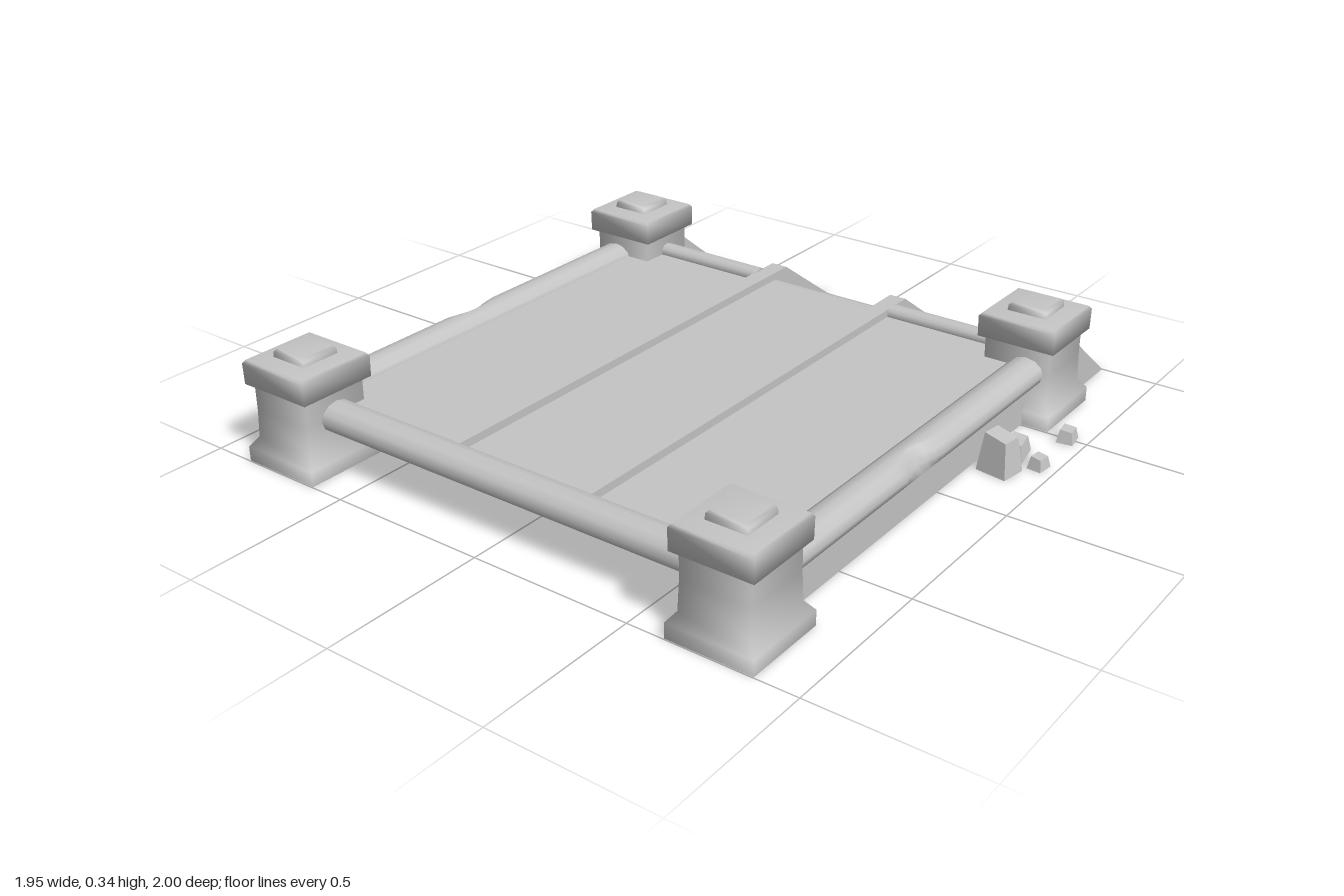
import * as THREE from 'three';

const stone = new THREE.MeshStandardMaterial({ color: 0xc4c4c4, side: THREE.DoubleSide });
stone.name = 'grey stone';

function add(parent, name, geometry, x = 0, y = 0, z = 0) {
  const mesh = new THREE.Mesh(geometry, stone);
  mesh.name = name;
  mesh.position.set(x, y, z);
  parent.add(mesh);
  return mesh;
}

function flat(geometry) {
  const g = geometry.index ? geometry.toNonIndexed() : geometry;
  g.computeVertexNormals();
  return g;
}

// Square, softly shaded turned block from [half width, height] pairs
function squareLathe(profile) {
  const pts = profile.map(([half, y]) => new THREE.Vector2(half * Math.SQRT2, y));
  return new THREE.LatheGeometry(pts, 4, Math.PI / 4);
}

// Side outline of [z, y] pairs, extruded from x0 to x1
function slab(outline, x0, x1) {
  const shape = new THREE.Shape(outline.map(([z, y]) => new THREE.Vector2(z, y)));
  const g = new THREE.ExtrudeGeometry(shape, { depth: x1 - x0, bevelEnabled: false });
  return g.rotateY(-Math.PI / 2).translate(x1, 0, 0);
}

// Open folded sheet following [z, y] pairs, from x0 to x1
function sheet(path, x0, x1) {
  const g = new THREE.PlaneGeometry(1, 1, 1, path.length - 1);
  const p = g.attributes.position;
  path.forEach(([z, y], i) => {
    p.setXYZ(i * 2, x1, y, z);
    p.setXYZ(i * 2 + 1, x0, y, z);
  });
  return flat(g);
}

// Rounded rail along z, oval in section
function rail(length, halfWidth, halfHeight, rows = 1) {
  return new THREE.CylinderGeometry(1, 1, length, 12, rows)
    .rotateX(Math.PI / 2).scale(halfWidth, halfHeight, 1);
}

function addPost(parent, x, z) {
  const post = new THREE.Group();
  post.name = 'cornerPost';
  post.position.set(x, 0, z);
  add(post, 'postColumn', squareLathe([[0.13, 0], [0.13, 0.045], [0.107, 0.075], [0.104, 0.16], [0.104, 0.245]]));
  add(post, 'postCap', squareLathe([[0.09, 0.238], [0.122, 0.241], [0.123, 0.305], [0.115, 0.315], [0.05, 0.319]]));
  add(post, 'postKnob', squareLathe([[0.062, 0.314], [0.06, 0.335], [0.052, 0.344], [0, 0.344]]));
  parent.add(post);
}

// Tapered angular rubble block standing on the ground
function addRock(parent, x, z, w, h, d, turn) {
  const g = new THREE.CylinderGeometry(0.5, 0.7, 1, 4, 1).rotateY(Math.PI / 4);
  const p = g.attributes.position;
  for (let i = 0; i < p.count; i++) {
    if (p.getY(i) > 0) p.setY(i, 0.5 - 0.15 * (p.getX(i) + 0.35));
  }
  const rock = add(parent, 'rubble', flat(g).translate(0, 0.5, 0), x, 0, z);
  rock.scale.set(w, h, d);
  rock.rotation.y = turn;
}

function addSide(parent, s) {
  addPost(parent, s * 0.742, 0.867);
  addPost(parent, s * 0.742, -0.635);

  // Side rail with a chipped outer edge
  const g = rail(1.34, 0.057, 0.045, 40);
  const p = g.attributes.position;
  for (let i = 0; i < p.count; i++) {
    const chip = Math.max(0, 1 - Math.abs(p.getZ(i) - 0.04) / 0.09);
    if (p.getX(i) * s > 0.02 && p.getY(i) > -0.01) p.setX(i, p.getX(i) - s * chip * 0.028);
  }
  g.computeVertexNormals();
  add(parent, 'sideRail', g, s * 0.773, 0.16, 0.12);
  add(parent, 'sideWall', new THREE.BoxGeometry(0.02, 0.15, 1.4), s * 0.778, 0.075, 0.12);

  // Sloping buttress behind the rear post
  const b = [s * 0.66, s * 0.82].sort((a, c) => a - c);
  add(parent, 'buttress', slab([[-0.64, 0], [-0.64, 0.21], [-0.73, 0.21], [-1, 0]], ...b));

  // Long floor beam running down to the ground at the rear
  const f = [s * 0.2, s * 0.255].sort((a, c) => a - c);
  add(parent, 'floorBeam', slab([[0.83, 0.145], [0.83, 0.195], [-0.72, 0.195],
    [-1, 0], [-0.85, 0], [-0.7, 0.12], [-0.66, 0.145]], ...f));

  // Rear rail and skirt between post and beam
  const r = rail(0.4, 0.03, 0.025).rotateY(Math.PI / 2);
  add(parent, 'rearRail', r, s * 0.45, 0.178, -0.64);
  const k = [s * 0.24, s * 0.68].sort((a, c) => a - c);
  add(parent, 'rearSkirt', sheet([[-0.64, 0.17], [-0.67, 0.165], [-0.8, 0.08], [-0.805, 0]], ...k));

  // Rubble beside the wall
  addRock(parent, s * 0.865, -0.215, 0.1, 0.118, 0.085, s > 0 ? -0.15 : 0.15);
  addRock(parent, s * 0.863, -0.325, 0.06, 0.055, 0.1, s * 0.2);
  addRock(parent, s * 0.948, -0.295, 0.045, 0.038, 0.055, s * -0.1);
  addRock(parent, s * 0.94, -0.495, 0.05, 0.04, 0.062, s * 0.15);
}

export function createModel() {
  const model = new THREE.Group();
  model.name = 'platform';

  add(model, 'floor', new THREE.BoxGeometry(1.55, 0.015, 1.5), 0, 0.163, 0.11);
  add(model, 'frontRail', rail(1.32, 0.057, 0.046).rotateY(Math.PI / 2), 0, 0.16, 0.863);

  // Central folded ramp at the rear
  add(model, 'rearRamp', sheet([[-0.64, 0.17], [-0.66, 0.168], [-0.76, 0.115], [-0.885, 0.052], [-0.888, 0]], -0.21, 0.21));

  addSide(model, 1);
  addSide(model, -1);
  return model;
}
